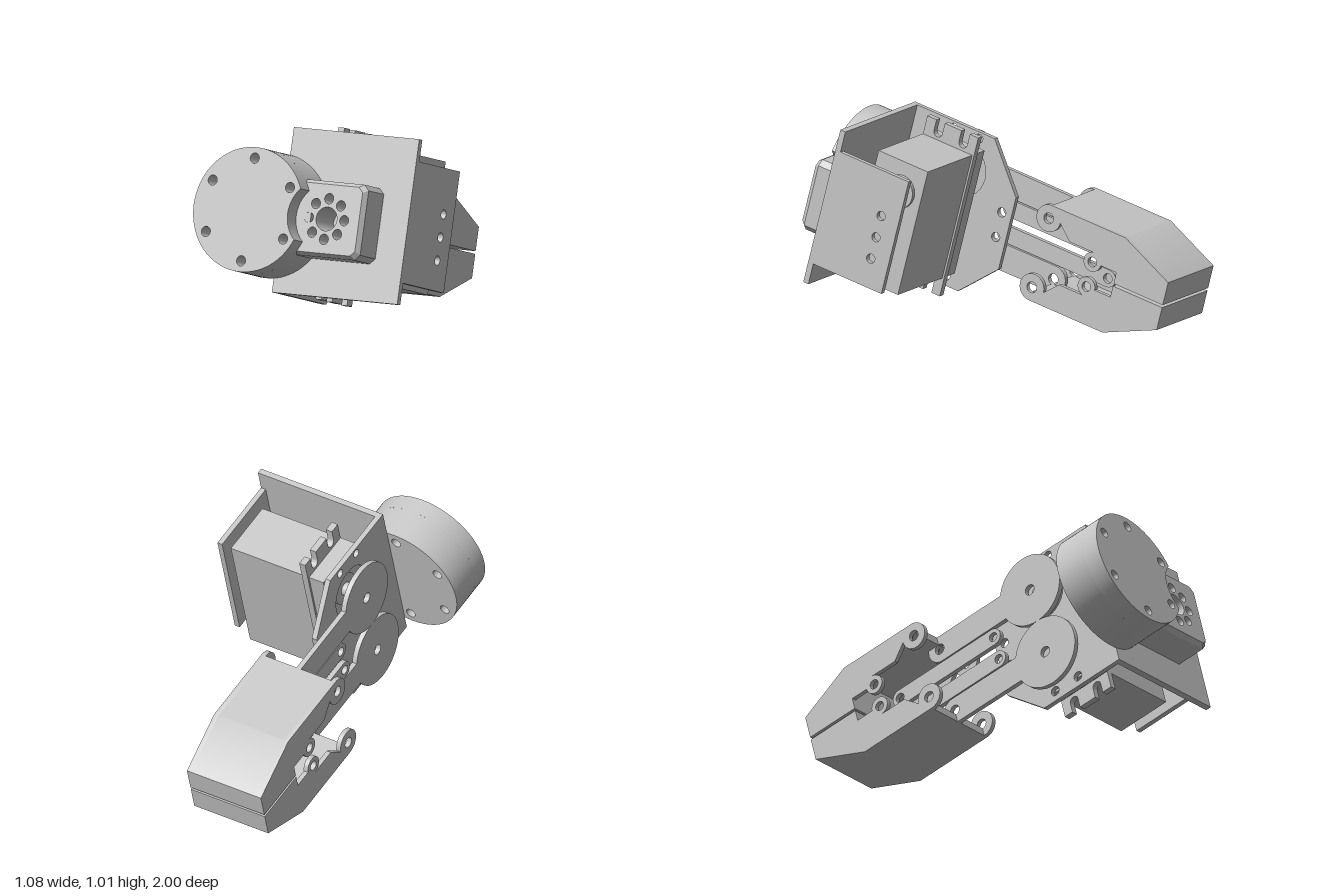
import * as THREE from 'three';
import { toCreasedNormals } from 'three/addons/utils/BufferGeometryUtils.js';

const lightGrey = new THREE.MeshStandardMaterial({ color: 0xc6c6c6 });
lightGrey.name = 'lightGrey';

const MID = 0.42; // height of the symmetry plane between the fingers

// Points along an arc
function arc(cx, cy, r, a0, a1, n = 24) {
  return Array.from({ length: n + 1 }, (_, i) => {
    const a = a0 + ((a1 - a0) * i) / n;
    return [cx + r * Math.cos(a), cy + r * Math.sin(a)];
  });
}
const rect = (x0, y0, x1, y1) => [[x0, y0], [x1, y0], [x1, y1], [x0, y1]];

// Extruded outline with round holes [x, y, radius]
function extrude(points, holes, depth) {
  const shape = new THREE.Shape(points.map(p => new THREE.Vector2(p[0], p[1])));
  for (const [x, y, r] of holes) {
    const ring = arc(x, y, r, 0, Math.PI * 2, 28).slice(0, -1);
    shape.holes.push(new THREE.Path(ring.map(p => new THREE.Vector2(p[0], p[1]))));
  }
  return new THREE.ExtrudeGeometry(shape, { depth, bevelEnabled: false });
}

function addMesh(parent, name, geometry) {
  const mesh = new THREE.Mesh(toCreasedNormals(geometry, 0.5), lightGrey);
  mesh.name = name;
  parent.add(mesh);
  return mesh;
}

// Side profile drawn as (distance backward, height), spanning x0..x1
function side(parent, name, points, holes, x0, x1) {
  const g = extrude(points, holes, x1 - x0);
  g.rotateY(Math.PI / 2).translate(x0, 0, 0);
  return addMesh(parent, name, g);
}

// Front profile drawn as (x, height), spanning z0..z1
function front(parent, name, points, holes, z0, z1) {
  return addMesh(parent, name, extrude(points, holes, z1 - z0).translate(0, 0, z0));
}

function buildBracket(parent) {
  const g = new THREE.Group();
  g.name = 'bracket';
  front(g, 'basePlate', rect(-0.185, 0.005, 0.54, 0.835), [], 0.763, 0.793);
  side(g, 'gearSidePlate',
    [[-0.78, 0.005], [-0.298, 0.005], [-0.107, 0.2], [-0.107, 0.59], [-0.3, 0.835], [-0.78, 0.835]],
    [[-0.44, 0.615, 0.14], [-0.165, MID + 0.067, 0.024], [-0.165, MID - 0.067, 0.024],
      [-0.535, 0.057, 0.025], [-0.385, 0.057, 0.025], [-0.535, 0.802, 0.022], [-0.385, 0.802, 0.022]],
    -0.185, -0.157);
  side(g, 'farSidePlate', rect(-0.78, 0.115, -0.355, 0.725),
    [0.266, 0.382, 0.498].map(v => [-0.459, v, 0.024]), 0.512, 0.54);
  parent.add(g);
}

function buildServo(parent) {
  const g = new THREE.Group();
  g.name = 'servo';
  side(g, 'servoBody', rect(-0.615, 0.1, -0.32, 0.77), [], -0.12, 0.43);
  // Mounting flange with two open slots at each end
  const PI = Math.PI, r = 0.025;
  side(g, 'servoFlange', [
    [-0.615, 0.005], [-0.56, 0.005], ...arc(-0.535, 0.057, r, PI, 0, 12), [-0.51, 0.005],
    [-0.41, 0.005], ...arc(-0.385, 0.057, r, PI, 0, 12), [-0.36, 0.005], [-0.31, 0.005],
    [-0.31, 0.868], [-0.36, 0.868], ...arc(-0.385, 0.81, r, 0, -PI, 12), [-0.41, 0.868],
    [-0.51, 0.868], ...arc(-0.535, 0.81, r, 0, -PI, 12), [-0.56, 0.868], [-0.615, 0.868],
  ], [], -0.035, 0);
  // Bosses and output shaft
  for (const [name, rad, x0, x1] of [
    ['gearBoss', 0.085, -0.145, -0.12], ['farBoss', 0.085, 0.43, 0.452], ['shaft', 0.035, -0.22, -0.145],
  ]) {
    side(g, name, arc(-0.445, 0.615, rad, 0, PI * 2, 40).slice(0, -1), [], x0, x1);
  }
  parent.add(g);
}

function buildWristMount(parent) {
  const g = new THREE.Group();
  g.name = 'wristMount';
  const cx = -0.23, cy = 0.385, R = 0.313, bx = 0.175, PI = Math.PI;
  const holes = Array.from({ length: 6 }, (_, i) => {
    const a = PI / 6 + (i * PI) / 3;
    return [cx + 0.258 * Math.cos(a), cy + 0.258 * Math.sin(a), 0.026];
  });
  // Round flange: full disc behind, with a clearance bite in the front layer
  front(g, 'flangeBack', arc(cx, cy, R, 0, PI * 2, 72).slice(0, -1), holes, 0.793, 0.968);
  front(g, 'flangeFront', [
    ...arc(cx, cy, R, 0.421, PI * 2 - 0.421, 64),
    ...arc(bx, cy, 0.175, PI + 0.821, PI - 0.821, 20).slice(1, -1),
  ], holes, 0.968, 1.057);

  // Coupling block with chamfered corners and front edge
  const w = 0.205, h = 0.19, c = 0.028;
  const outline = [[w, -h + c], [w, h - c], [w - c, h], [-w + c, h], [-w, h - c], [-w, -h + c], [-w + c, -h], [w - c, -h]];
  const bolts = [[0, 0, 0.06]];
  for (let i = 0; i < 8; i++) {
    bolts.push([0.102 * Math.cos((i * PI) / 4), 0.102 * Math.sin((i * PI) / 4), 0.026]);
  }
  const cap = extrude(outline, bolts, 0.025);
  const p = cap.attributes.position;
  for (let i = 0; i < p.count; i++) {
    const x = p.getX(i), y = p.getY(i);
    if (p.getZ(i) > 0.01 && Math.hypot(x, y) > 0.16) p.setXY(i, x * 0.91, y * 0.91);
  }
  cap.computeVertexNormals();
  addMesh(g, 'couplingCap', cap.translate(bx, 0.382, 0.945));
  addMesh(g, 'couplingBlock', extrude(outline, bolts, 0.152).translate(bx, 0.382, 0.793));
  parent.add(g);
}

// One finger with its geared arm and parallel link; s = 1 upper, -1 lower
function buildFinger(parent, s) {
  const g = new THREE.Group();
  g.name = s > 0 ? 'upperFinger' : 'lowerFinger';
  const PI = Math.PI;
  const pts = list => list.map(([x, d]) => [x, MID + s * d]);
  const hol = list => list.map(([x, d, r]) => [x, MID + s * d, r]);

  const a = Math.asin(0.07 / 0.19);
  side(g, 'drivenArm', pts([
    ...arc(-0.44, 0.19, 0.19, a, PI * 2 - a, 56), ...arc(0.156, 0.188, 0.07, -PI / 2, PI / 2),
  ]), hol([[-0.44, 0.19, 0.028], [0.156, 0.188, 0.028]]), -0.275, -0.248);

  side(g, 'parallelLink', pts([
    ...arc(-0.165, 0.067, 0.045, PI / 2, PI * 1.5), ...arc(0.45, 0.067, 0.045, -PI / 2, PI / 2),
  ]), hol([[-0.165, 0.067, 0.024], [0.45, 0.067, 0.025]]), -0.275, -0.248);

  // Finger cheeks carrying the pivots
  const cheek = pts([
    ...arc(0.156, 0.188, 0.07, PI / 2, PI * 2), [0.3, 0.117],
    ...arc(0.45, 0.067, 0.05, PI / 2, PI * 2),
    [0.594, 0.067], [0.594, 0.007], [0.888, 0.007], [0.888, 0.129], [0.598, 0.258],
  ]);
  const pivots = hol([[0.156, 0.188, 0.028], [0.45, 0.067, 0.025]]);
  for (const x of [-0.48, -0.065]) side(g, 'fingerCheek', cheek, pivots, x, x + 0.025);

  side(g, 'fingerBack', pts(rect(0.156, 0.213, 0.598, 0.258)), [], -0.455, -0.065);
  side(g, 'fingerTip', pts([
    [0.594, 0.007], [0.888, 0.007], [0.888, 0.129], [0.598, 0.258], [0.594, 0.258],
  ]), [], -0.455, -0.065);
  parent.add(g);
}

export function createModel() {
  const model = new THREE.Group();
  model.name = 'gripper';
  const tilted = new THREE.Group();
  tilted.name = 'tiltedAssembly';
  tilted.rotation.x = -Math.PI / 12;
  model.add(tilted);
  buildBracket(tilted);
  buildServo(tilted);
  buildWristMount(tilted);
  for (const s of [1, -1]) buildFinger(tilted, s);
  return model;
}
